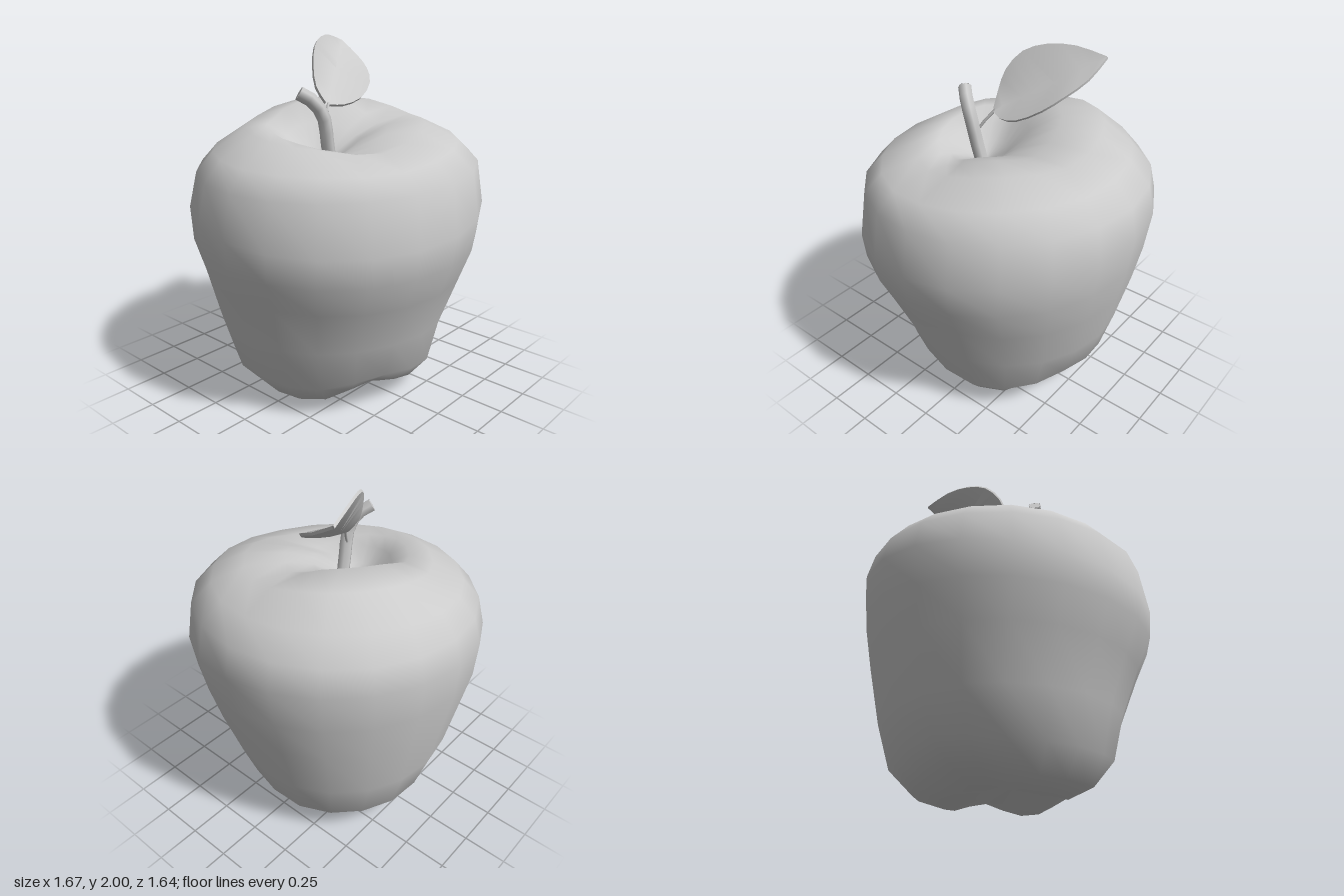
import * as THREE from 'three';
import { toCreasedNormals } from 'three/addons/utils/BufferGeometryUtils.js';

const SIDES = 20;

// Joins closed cross-sections (arrays of [x, y, z]) into an indexed skin
function loft(sections) {
  const n = sections[0].length, index = [];
  for (let r = 0; r < sections.length - 1; r++) {
    for (let i = 0; i < n; i++) {
      const j = (i + 1) % n;
      const a = r * n + i, b = a + n, c = (r + 1) * n + j, d = r * n + j;
      index.push(a, b, c, a, c, d);
    }
  }
  const geo = new THREE.BufferGeometry();
  geo.setAttribute('position', new THREE.Float32BufferAttribute(sections.flat(2), 3));
  geo.setIndex(index);
  geo.computeVertexNormals();
  return geo;
}

// Fruit rings: radius, centre x, centre z, height, tilt in x, tilt in z, groove depth
const RINGS = [
  [0.001, -0.04, 0.04, 0.11, 0, 0, 0],
  [0.09, -0.04, 0.04, 0.09, 0, 0, 0.01],
  [0.19, -0.03, 0.03, 0.045, 0, 0, 0.035],
  [0.34, 0, 0, 0.005, 0, 0, 0.07],
  [0.485, 0, -0.01, 0.055, 0, 0, 0.09],
  [0.605, 0, -0.025, 0.185, 0, 0, 0.05],
  [0.67, 0, -0.035, 0.43, 0, 0, 0.012],
  [0.755, 0, -0.015, 0.725, 0.03, -0.03, 0],
  [0.815, -0.01, 0, 0.925, 0.055, -0.055, 0],
  [0.835, 0, 0, 1.12, 0.09, -0.09, 0],
  [0.795, 0.005, 0, 1.325, 0.06, -0.02, 0],
  [0.69, -0.005, -0.005, 1.44, 0.08, -0.03, -0.015],
  [0.51, 0.01, -0.02, 1.55, 0.11, -0.09, -0.04],
  [0.34, -0.06, -0.02, 1.55, 0.15, -0.19, -0.065],
  [0.22, -0.12, -0.01, 1.475, 0.15, -0.15, -0.04],
  [0.12, -0.14, -0.01, 1.38, 0.1, -0.1, 0],
  [0.001, -0.14, 0, 1.33, 0, 0, 0],
];

// Three uneven grooves run in from the sides: angle, strength
const GROOVES = [[0.28, 1], [1.93, 1.05], [4.3, 0.8]];

function grooveAt(angle) {
  return GROOVES.reduce((sum, [at, strength]) => {
    const gap = Math.acos(Math.cos(angle - at));
    return sum + strength * Math.exp(-((gap / 0.45) ** 2));
  }, 0);
}

function fruitGeometry() {
  return loft(RINGS.map(([r, cx, cz, y, tx, tz, depth]) =>
    Array.from({ length: SIDES }, (_, i) => {
      const a = (i / SIDES) * Math.PI * 2;
      const groove = depth * grooveAt(a);
      const rr = r - Math.max(groove, 0) * 0.35;
      const dx = Math.cos(a) * rr, dz = Math.sin(a) * rr * 0.98;
      return [cx + dx, y + dx * tx + dz * tz + groove, cz + dz];
    })));
}

const curve = (points) =>
  new THREE.CatmullRomCurve3(points.map((p) => new THREE.Vector3(...p)));

// Leaf lines from base to tip: front edge, midrib, back edge
const LEAF = [
  [[-0.072, 1.648, 0.015], [0.0, 1.642, 0.05], [0.12, 1.672, 0.075], [0.25, 1.745, 0.03],
    [0.33, 1.815, -0.06], [0.385, 1.88, -0.18], [0.403, 1.962, -0.315]],
  [[-0.08, 1.652, 0.005], [0.0, 1.7, -0.05], [0.09, 1.76, -0.11], [0.18, 1.82, -0.17],
    [0.26, 1.875, -0.22], [0.33, 1.92, -0.27], [0.402, 1.964, -0.318]],
  [[-0.086, 1.658, -0.002], [-0.1, 1.74, -0.06], [-0.08, 1.85, -0.1], [-0.01, 1.95, -0.155],
    [0.1, 1.995, -0.215], [0.24, 2.0, -0.275], [0.398, 1.966, -0.32]],
].map(curve);

function leafGeometry() {
  const under = ([x, y, z]) => [x, y - 0.011, z - 0.011];
  const sections = Array.from({ length: 13 }, (_, i) => {
    const [f, m, b] = LEAF.map((line) => line.getPoint(i / 12).toArray());
    return [f, m, b, under(b), under(m), under(f)];
  });
  return toCreasedNormals(loft(sections), 0.95);
}

export function createModel() {
  const group = new THREE.Group();
  const material = new THREE.MeshStandardMaterial({ color: 0xcccccc });
  const thin = new THREE.MeshStandardMaterial({ color: 0xcccccc, side: THREE.DoubleSide });
  const add = (name, geo, mat) => {
    const mesh = new THREE.Mesh(geo, mat);
    mesh.name = name;
    group.add(mesh);
    return mesh;
  };

  add('fruit', fruitGeometry(), material);

  // Curved stem with a cut end
  const stemPath = curve([
    [-0.115, 1.32, 0.055], [-0.148, 1.45, 0.065], [-0.185, 1.6, 0.07],
    [-0.235, 1.68, 0.045], [-0.29, 1.725, -0.005],
  ]);
  add('stem', new THREE.TubeGeometry(stemPath, 7, 0.038, 6), thin);
  const cut = add('stemEnd', new THREE.CircleGeometry(0.038, 6), thin);
  const end = stemPath.getPointAt(1);
  cut.position.copy(end);
  cut.lookAt(end.clone().add(stemPath.getTangentAt(1)));

  // Thin stalk joining the leaf to the stem
  const stalkPath = curve([[-0.165, 1.51, 0.06], [-0.12, 1.585, 0.035], [-0.07, 1.655, 0]]);
  add('leafStalk', new THREE.TubeGeometry(stalkPath, 4, 0.008, 6), thin);

  add('leaf', leafGeometry(), thin);
  return group;
}
